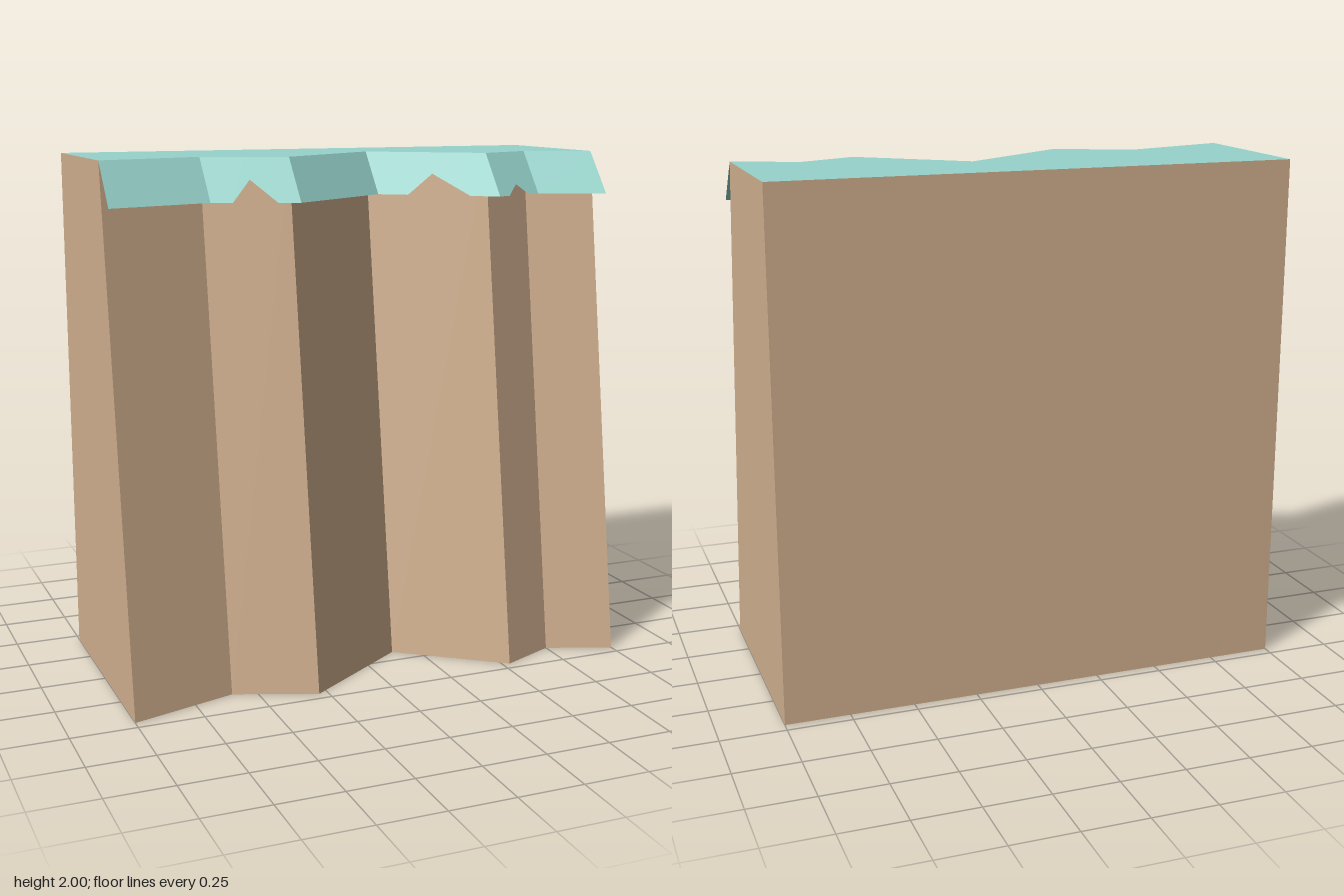
import * as THREE from 'three';

const HEIGHT = 2, BACK = -0.458;
const FOOT = 0.291;   // how far the cliff foot steps out from its top edge
const LIP_Y = 1.84, LIP_OUT = 0.128;

// Zigzag top edge of the cliff, as [x, z]
const RIM = [[-1, 0.167], [-0.593, 0.047], [-0.285, 0.167], [0.147, -0.126],
  [0.53, 0.167], [0.75, 0.07], [1, 0.167]];

// Triangular notches in the lip, as [centre x, half width, height]
const NOTCHES = [[-0.44, 0.077, 0.08], [0.34, 0.098, 0.08], [0.64, 0.055, 0.04]];

// Depth of the rim at any x
function rimZ(x) {
  for (let i = 1; i < RIM.length; i++) {
    const [x0, z0] = RIM[i - 1], [x1, z1] = RIM[i];
    if (x <= x1) return z0 + (z1 - z0) * (x - x0) / (x1 - x0);
  }
  return RIM[RIM.length - 1][1];
}

// Flat-faced mesh from four-cornered faces, counter-clockwise from outside
function facesMesh(name, quads, material) {
  const positions = [];
  for (const [a, b, c, d] of quads) positions.push(...a, ...b, ...c, ...a, ...c, ...d);
  const geometry = new THREE.BufferGeometry();
  geometry.setAttribute('position', new THREE.Float32BufferAttribute(positions, 3));
  geometry.computeVertexNormals();
  const mesh = new THREE.Mesh(geometry, material);
  mesh.name = name;
  return mesh;
}

export function createModel() {
  const rock = new THREE.MeshStandardMaterial({ color: 0xd2b190, side: THREE.DoubleSide });
  rock.name = 'tan rock';
  const grass = new THREE.MeshStandardMaterial({ color: 0x97d3cb, side: THREE.DoubleSide });
  grass.name = 'teal grass';

  const group = new THREE.Group();
  group.name = 'cliffBlock';

  // Leaning front facets, with the bottom and top split into matching strips
  const rockFaces = [], topFaces = [];
  for (let i = 1; i < RIM.length; i++) {
    const [x0, z0] = RIM[i - 1], [x1, z1] = RIM[i];
    const foot0 = [x0, 0, z0 + FOOT], foot1 = [x1, 0, z1 + FOOT];
    const top0 = [x0, HEIGHT, z0], top1 = [x1, HEIGHT, z1];
    rockFaces.push([foot0, foot1, top1, top0]);
    rockFaces.push([[x0, 0, BACK], [x1, 0, BACK], foot1, foot0]);
    topFaces.push([top0, top1, [x1, HEIGHT, BACK], [x0, HEIGHT, BACK]]);
  }

  // Flat back and two sides
  const end = RIM[0][1];
  rockFaces.push([[1, 0, BACK], [-1, 0, BACK], [-1, HEIGHT, BACK], [1, HEIGHT, BACK]]);
  rockFaces.push([[1, 0, end + FOOT], [1, 0, BACK], [1, HEIGHT, BACK], [1, HEIGHT, end]]);
  rockFaces.push([[-1, 0, BACK], [-1, 0, end + FOOT], [-1, HEIGHT, end], [-1, HEIGHT, BACK]]);

  // Thin overhanging lip: rim corners and notches set its lower edge
  const edge = RIM.map(([x]) => [x, LIP_Y]);
  for (const [x, half, rise] of NOTCHES) {
    edge.push([x - half, LIP_Y], [x, LIP_Y + rise], [x + half, LIP_Y]);
  }
  edge.sort((a, b) => a[0] - b[0]);
  const lower = ([x, y]) => [x, y, rimZ(x) + LIP_OUT * (HEIGHT - y) / (HEIGHT - LIP_Y)];
  const upper = ([x]) => [x, HEIGHT, rimZ(x)];
  const lipFaces = [];
  for (let i = 1; i < edge.length; i++) {
    const a = edge[i - 1], b = edge[i];
    lipFaces.push([lower(a), lower(b), upper(b), upper(a)]);
  }

  group.add(
    facesMesh('cliffBody', rockFaces, rock),
    facesMesh('grassTop', topFaces, grass),
    facesMesh('grassLip', lipFaces, grass),
  );
  return group;
}
